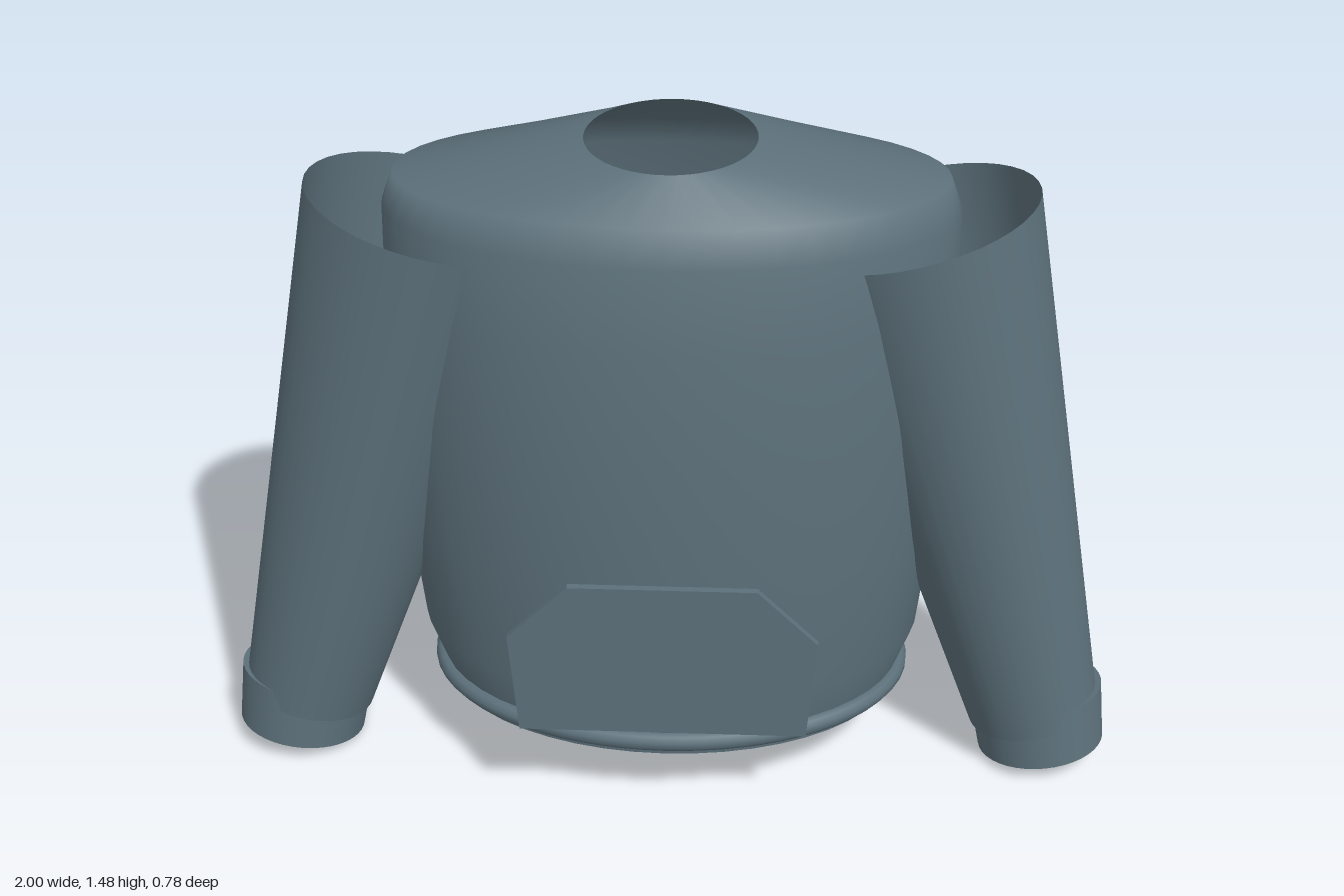
import * as THREE from 'three';

const CENTRE_Z = -0.015;

// Open shell through elliptical rings of [y, half width, half depth]
function loft(rings, sides) {
  const pos = [], idx = [];
  for (const [y, rx, rz] of rings) {
    for (let i = 0; i < sides; i++) {
      const a = (i / sides) * Math.PI * 2;
      pos.push(rx * Math.sin(a), y, CENTRE_Z + rz * Math.cos(a));
    }
  }
  for (let r = 0; r < rings.length - 1; r++) {
    for (let i = 0; i < sides; i++) {
      const j = (i + 1) % sides;
      const a = r * sides + i, b = r * sides + j;
      idx.push(a, b, b + sides, a, b + sides, a + sides);
    }
  }
  const g = new THREE.BufferGeometry();
  g.setAttribute('position', new THREE.Float32BufferAttribute(pos, 3));
  g.setIndex(idx);
  g.computeVertexNormals();
  return g;
}

// Tapered cylinder running from a top centre to a bottom centre
function taper(name, top, bottom, rTop, rBottom, open, material) {
  const a = new THREE.Vector3(...top), b = new THREE.Vector3(...bottom);
  const axis = a.clone().sub(b);
  const mesh = new THREE.Mesh(
    new THREE.CylinderGeometry(rTop, rBottom, axis.length(), 40, 1, open), material);
  mesh.position.copy(a).add(b).multiplyScalar(0.5);
  mesh.quaternion.setFromUnitVectors(new THREE.Vector3(0, 1, 0), axis.normalize());
  mesh.name = name;
  return mesh;
}

export function createModel() {
  const model = new THREE.Group();
  model.name = 'sweater';
  const fabric = new THREE.MeshStandardMaterial({ color: 0x5c707a, side: THREE.DoubleSide });
  fabric.name = 'slate fabric';

  // Torso, open at the hem and at the neck
  const torso = new THREE.Mesh(loft([
    [0.16, 0.515, 0.35],
    [0.21, 0.52, 0.355],
    [0.32, 0.56, 0.372],
    [0.6, 0.59, 0.373],
    [0.9, 0.605, 0.373],
    [1.15, 0.608, 0.345],
    [1.33, 0.605, 0.322],
    [1.4, 0.58, 0.283],
    [1.48, 0.18, 0.197],
  ], 48), fabric);
  torso.name = 'torso';
  model.add(torso);

  // Rolled band around the hem
  const points = [];
  for (let i = 0; i < 32; i++) {
    const a = (i / 32) * Math.PI * 2;
    points.push(new THREE.Vector3(0.523 * Math.sin(a), 0.2, CENTRE_Z + 0.356 * Math.cos(a)));
  }
  const hem = new THREE.Mesh(
    new THREE.TubeGeometry(new THREE.CatmullRomCurve3(points, true), 64, 0.022, 10, true), fabric);
  hem.name = 'hemBand';
  model.add(hem);

  // Front pocket panel with cut upper corners
  const outline = [[-0.31, 0.26], [0.31, 0.26], [0.33, 0.5], [0.2, 0.63], [-0.2, 0.63], [-0.33, 0.5]];
  const pocket = new THREE.Mesh(new THREE.ExtrudeGeometry(
    new THREE.Shape(outline.map(([x, y]) => new THREE.Vector2(x, y))),
    { depth: 0.016, bevelEnabled: false }), fabric);
  pocket.position.z = 0.374;
  pocket.name = 'frontPocket';
  model.add(pocket);

  // Sleeves, open at the shoulder, each ending in a closed cuff
  for (const [side, s] of [['left', 1], ['right', -1]]) {
    const arm = new THREE.Group();
    arm.name = side + 'Arm';
    arm.add(taper(side + 'Sleeve', [s * 0.508, 1.31, -0.01], [s * 0.835, 0.12, 0.055],
      0.266, 0.148, true, fabric));
    arm.add(taper(side + 'Cuff', [s * 0.838, 0.165, 0.047], [s * 0.859, 0.03, 0.063],
      0.151, 0.143, false, fabric));
    model.add(arm);
  }
  return model;
}
